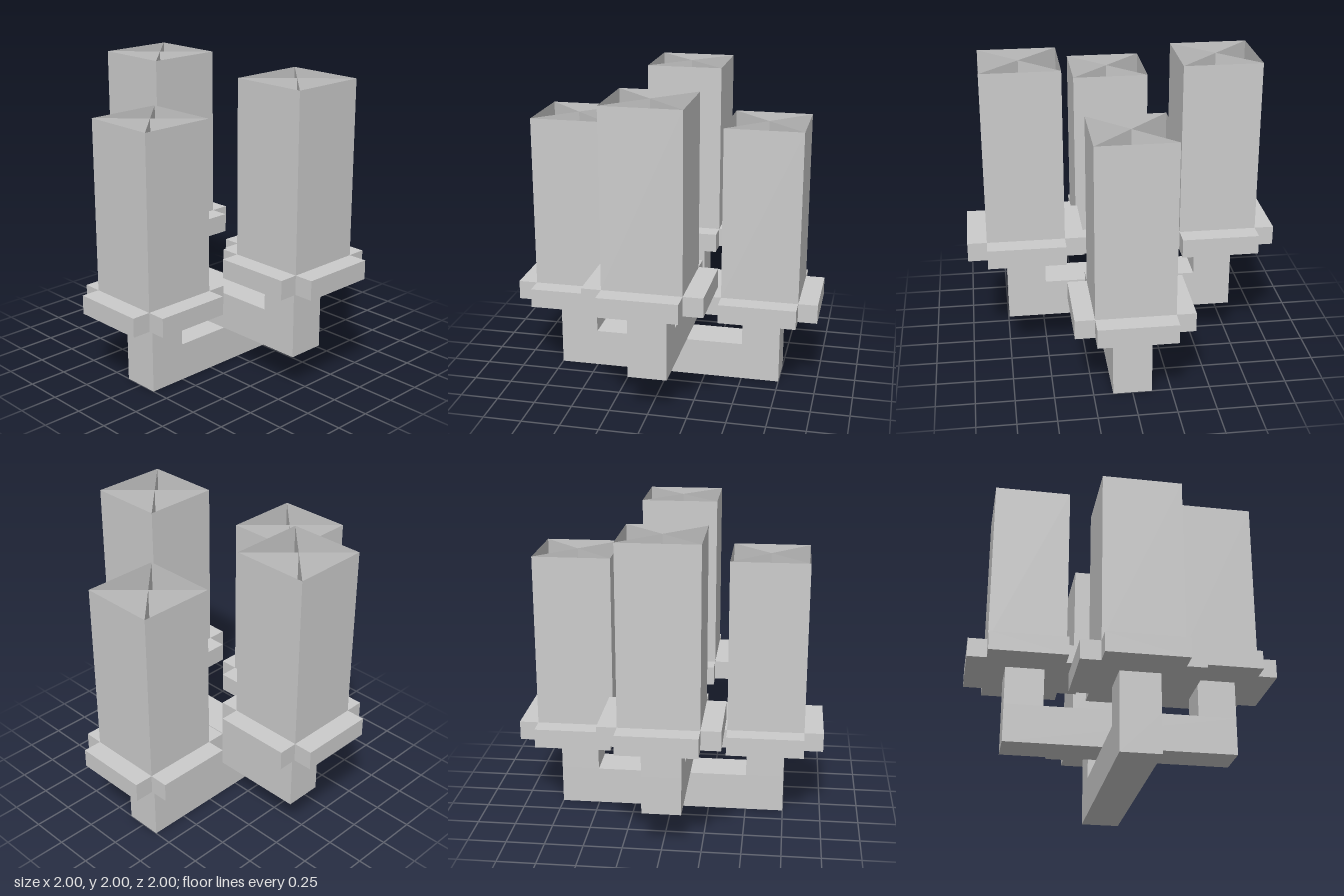
import * as THREE from 'three';

const solid = new THREE.MeshStandardMaterial({ color: 0xcccccc, flatShading: true });
const sheet = new THREE.MeshStandardMaterial({ color: 0xcccccc, flatShading: true, side: THREE.DoubleSide });

function add(parent, name, geometry, material = solid) {
  const mesh = new THREE.Mesh(geometry, material);
  mesh.name = name;
  parent.add(mesh);
  return mesh;
}

// Cross-shaped plate with a square socket for the post
function collarGeometry() {
  const a = 0.25, b = 0.375, s = 0.125;
  const shape = new THREE.Shape([
    [b, -a], [b, a], [a, a], [a, b], [-a, b], [-a, a],
    [-b, a], [-b, -a], [-a, -a], [-a, -b], [a, -b], [a, -a],
  ].map(([x, y]) => new THREE.Vector2(x, y)));
  shape.holes.push(new THREE.Path([[-s, -s], [-s, s], [s, s], [s, -s]]
    .map(([x, y]) => new THREE.Vector2(x, y))));
  return new THREE.ExtrudeGeometry(shape, { depth: 0.125, bevelEnabled: false }).rotateX(-Math.PI / 2);
}

// Post, collar and hollow candle, standing on a beam whose top is at y = 0
function candleHolder(name) {
  const holder = new THREE.Group();
  holder.name = name;
  add(holder, 'post', new THREE.BoxGeometry(0.25, 0.25, 0.25)).position.y = 0.125;
  add(holder, 'collar', collarGeometry()).position.y = 0.25;

  // Open square tube with two crossed sheets from corner to corner
  const height = 1.125, radius = 0.25 * Math.SQRT2;
  const candle = new THREE.Group();
  candle.name = 'candle';
  candle.position.y = 0.375 + height / 2;
  add(candle, 'candleWalls',
    new THREE.CylinderGeometry(radius, radius, height, 4, 1, true, Math.PI / 4), sheet);
  for (const turn of [1, -1]) {
    add(candle, 'crossSheet', new THREE.PlaneGeometry(2 * radius, height), sheet)
      .rotation.y = turn * Math.PI / 4;
  }
  holder.add(candle);
  return holder;
}

// A beam carrying a candle holder at each end
function arm(name) {
  const group = new THREE.Group();
  group.name = name;
  add(group, 'beam', new THREE.BoxGeometry(1.5, 0.25, 0.25)).position.y = 0.125;
  for (const side of [1, -1]) {
    const holder = candleHolder('candleHolder');
    holder.position.set(side * 0.625, 0.25, 0);
    group.add(holder);
  }
  return group;
}

export function createModel() {
  const model = new THREE.Group();
  model.name = 'candelabrum';

  // Lower arm runs side to side, the upper one front to back
  model.add(arm('lowerArm'));
  const upper = arm('upperArm');
  upper.position.y = 0.25;
  upper.rotation.y = Math.PI / 2;
  model.add(upper);

  return model;
}
